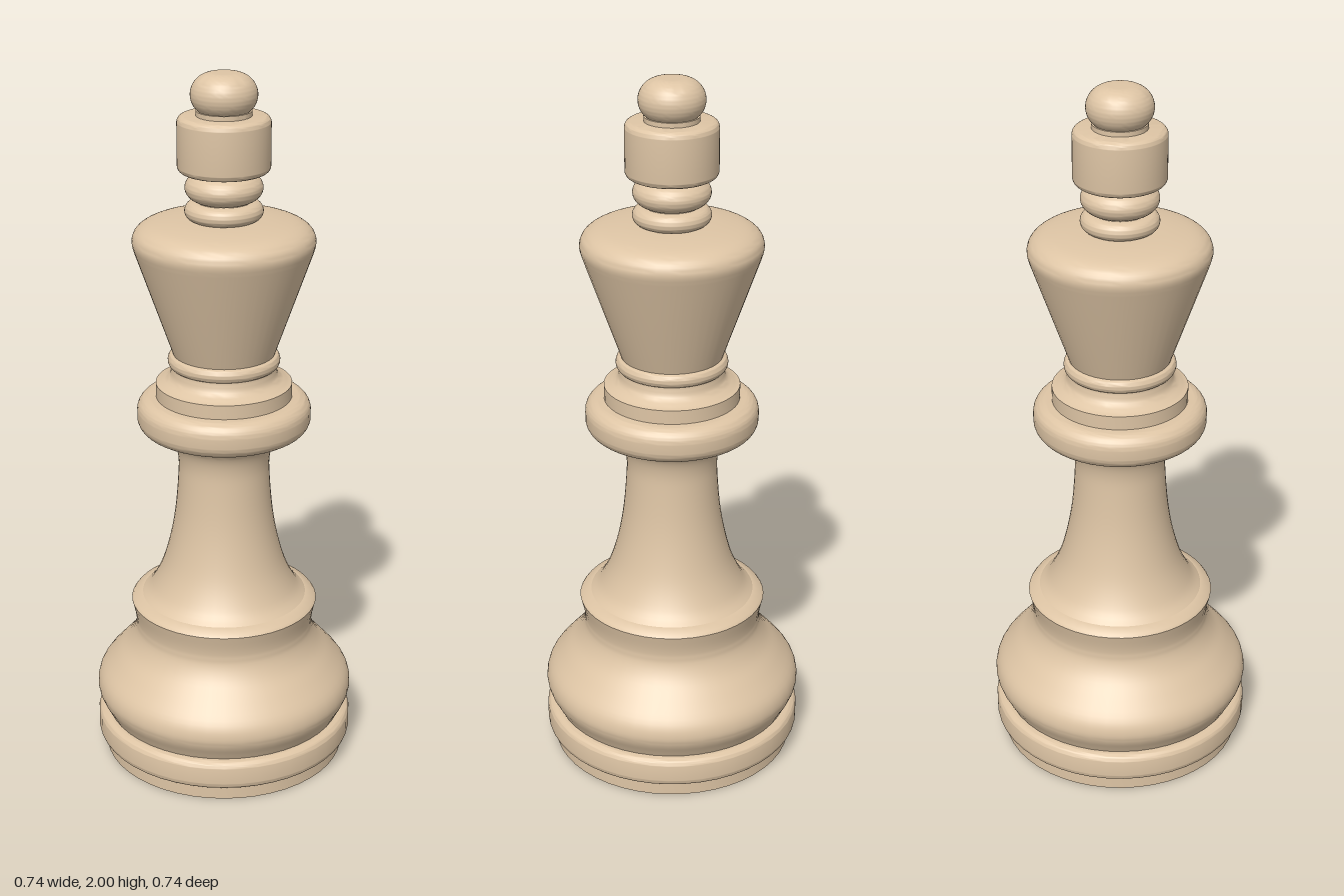
import * as THREE from 'three';
import { toCreasedNormals } from 'three/addons/utils/BufferGeometryUtils.js';

const wood = new THREE.MeshStandardMaterial({ color: 0xdec5a5 });
const vec = (pairs) => pairs.map(([r, y]) => new THREE.Vector2(r, y));

// Smooth curve through a few [radius, height] points
const curve = (pairs, n = 24) => new THREE.SplineCurve(vec(pairs)).getPoints(n);

// Closed disc-like outline with rounded rims
function rounded(r, y0, y1, rim) {
  const s = new THREE.Path();
  s.moveTo(0, y0).lineTo(r - rim, y0);
  s.absarc(r - rim, y0 + rim, rim, -Math.PI / 2, 0, false);
  s.lineTo(r, y1 - rim);
  s.absarc(r - rim, y1 - rim, rim, 0, Math.PI / 2, false);
  s.lineTo(0, y1);
  return s.getPoints(8);
}

// Disc with an elliptical edge, used for the stacked rings
function bead(r, y0, y1, depth) {
  const s = new THREE.Path();
  s.moveTo(0, y0).lineTo(r - depth, y0);
  s.absellipse(r - depth, (y0 + y1) / 2, depth, (y1 - y0) / 2, -Math.PI / 2, Math.PI / 2, false, 0);
  s.lineTo(0, y1);
  return s.getPoints(16);
}

export function createModel() {
  const group = new THREE.Group();

  function turn(name, points) {
    const clean = points.filter((p, i) => i === 0 || p.distanceTo(points[i - 1]) > 1e-5);
    const geometry = toCreasedNormals(new THREE.LatheGeometry(clean, 48), 0.6);
    const mesh = new THREE.Mesh(geometry, wood);
    mesh.name = name;
    group.add(mesh);
  }

  // Foot
  turn('plinth', vec([[0, 0], [0.35, 0], [0.35, 0.045], [0, 0.045]]));
  turn('footRing', rounded(0.372, 0.04, 0.127, 0.022));

  // Swelling base with a flared lip
  turn('base', [
    ...vec([[0, 0.125]]),
    ...curve([[0.342, 0.125], [0.352, 0.145], [0.367, 0.175], [0.372, 0.205], [0.36, 0.242],
      [0.32, 0.29], [0.28, 0.335], [0.258, 0.38], [0.257, 0.42], [0.268, 0.47]], 36),
    ...vec([[0.262, 0.478], [0.235, 0.488], [0, 0.488]]),
  ]);

  // Waisted stem running out under the collar
  turn('stem', curve([[0.24, 0.484], [0.21, 0.515], [0.178, 0.58], [0.155, 0.66], [0.139, 0.75],
    [0.13, 0.85], [0.129, 0.91], [0.14, 0.955], [0.165, 0.985], [0.205, 1.0]], 40));

  // Collar and the steps above it
  turn('collar', rounded(0.243, 0.996, 1.098, 0.04));
  turn('collarStep', [
    ...vec([[0, 1.095], [0.19, 1.095], [0.19, 1.138]]),
    ...curve([[0.182, 1.14], [0.155, 1.155], [0.146, 1.175], [0.144, 1.195]], 10),
    ...vec([[0, 1.195]]),
  ]);
  turn('neckRing', bead(0.156, 1.185, 1.224, 0.015));

  // Flared head with a softly domed top
  turn('head', [
    ...vec([[0, 1.22], [0.14, 1.22], [0.243, 1.515]]),
    ...curve([[0.243, 1.515], [0.25, 1.545], [0.24, 1.572], [0.21, 1.591], [0.16, 1.601], [0.1, 1.606], [0, 1.608]]),
  ]);

  // Finial: stacked rings, drum and knob
  turn('finialCore', vec([[0, 1.6], [0.075, 1.6], [0.075, 1.9], [0, 1.9]]));
  turn('lowerFinialRing', bead(0.107, 1.603, 1.655, 0.03));
  turn('upperFinialRing', bead(0.106, 1.652, 1.733, 0.055));
  turn('finialDrum', rounded(0.126, 1.735, 1.887, 0.018));
  turn('knob', bead(0.09, 1.885, 2, 0.06));

  return group;
}
